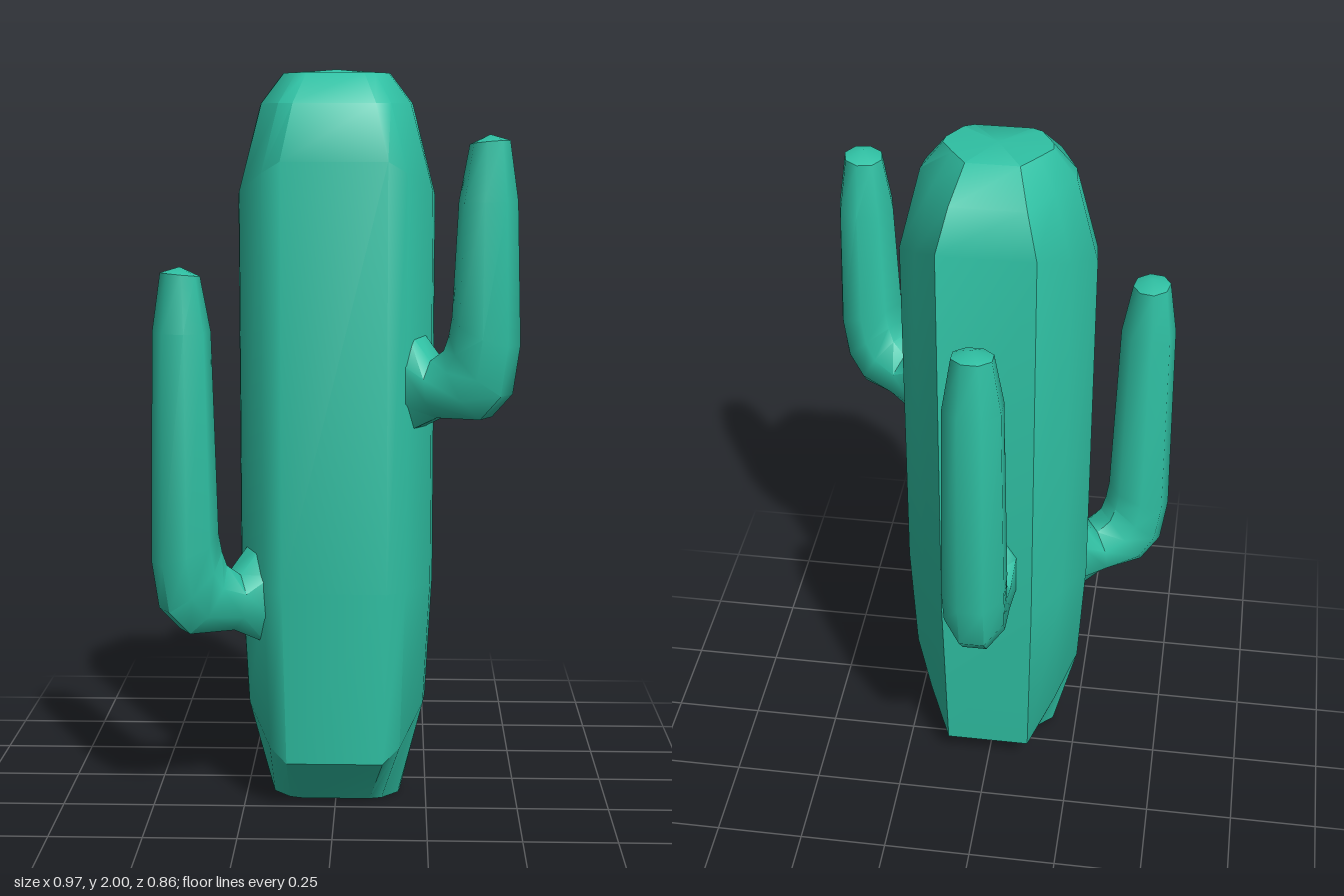
import * as THREE from 'three';
import { toCreasedNormals } from 'three/addons/utils/BufferGeometryUtils.js';

const material = new THREE.MeshStandardMaterial({ color: 0x2fc0a3 });
const AXIS_Z = 0.1; // the trunk stands slightly forward of the middle

// Skin a list of equal-length rings, closing both ends with a centre point
function loft(rings, start, end, crease) {
  const n = rings[0].length;
  const points = [...rings.flat(), start, end];
  const s = points.length - 2, e = s + 1;
  const last = (rings.length - 1) * n;
  const index = [];
  for (let j = 0; j < n; j++) {
    const k = (j + 1) % n;
    for (let i = 0; i < last; i += n) {
      index.push(i + j, i + k, i + n + k, i + j, i + n + k, i + n + j);
    }
    index.push(s, k, j, e, last + j, last + k);
  }
  const geometry = new THREE.BufferGeometry();
  geometry.setAttribute('position', new THREE.Float32BufferAttribute(points.flat(), 3));
  geometry.setIndex(index);
  return toCreasedNormals(geometry, crease);
}

// Rounded hexagonal trunk with a domed top and a chipped, tapering foot
function createTrunk() {
  // Half outline front to back: x, z from the axis, foot height, shoulder height
  const half = [
    [0.14, 0.235, 0.14, 1.76],
    [0.19, 0.205, 0.18, 1.73],
    [0.258, 0.065, 0.27, 1.68],
    [0.265, 0.0, 0.28, 1.67],
    [0.205, -0.11, 0.18, 1.72],
    [0.13, -0.235, 0.08, 1.79],
  ];
  const outline = [...half, ...half.map(([x, ...rest]) => [-x, ...rest]).reverse()];
  const ring = (sx, sz, height) =>
    outline.map((p) => [p[0] * sx, height(p), AXIS_Z + p[1] * sz]);
  const rings = [
    ring(0.67, 0.35, () => 0),
    ring(0.93, 0.88, (p) => p[2]),
    ring(1, 1, () => 0.62),
    ring(1, 0.98, (p) => p[3]),
    ring(0.77, 0.82, () => 1.91),
    ring(0.54, 0.45, () => 1.99),
  ];
  const mesh = new THREE.Mesh(loft(rings, [0, 0, AXIS_Z], [0, 2, AXIS_Z], 0.65), material);
  mesh.name = 'trunk';
  return mesh;
}

// Arm growing outward along +z, then bending upright
function createArm(name, angle, lift, tipY) {
  // Inner (r, y), outer (r, y), half width
  const sections = [
    [0.18, 0.95, 0.18, 0.6, 0.09],
    [0.24, 0.91, 0.24, 0.635, 0.085],
    [0.31, 0.83, 0.33, 0.68, 0.08],
    [0.35, 0.86, 0.46, 0.685, 0.08],
    [0.365, 0.9, 0.52, 0.75, 0.082],
    [0.375, 0.95, 0.54, 0.88, 0.085],
    [0.39, 1.5, 0.53, 1.5, 0.076],
    [0.415, 1.645, 0.51, 1.655, 0.052],
  ];
  // Keep the bend and the tip, stretch only the upright between them
  const height = (y) => (y > 1.3 ? y + tipY - 1.67 : y + lift);
  const sides = 8;
  const rings = sections.map(([r0, y0, r1, y1, w]) => {
    const a = height(y0), b = height(y1);
    return Array.from({ length: sides }, (_, j) => {
      const t = ((j + 0.5) / sides) * Math.PI * 2;
      const c = Math.cos(t) / Math.cos(Math.PI / sides);
      const s = Math.sin(t) / Math.cos(Math.PI / sides);
      return [w * s, (a + b) / 2 + ((b - a) / 2) * c, (r0 + r1) / 2 + ((r1 - r0) / 2) * c];
    });
  });
  const geometry = loft(rings, [0, 0.775 + lift, 0.18], [0, tipY, 0.463], 0.85);
  const mesh = new THREE.Mesh(geometry, material);
  mesh.name = name;
  mesh.position.z = AXIS_Z;
  mesh.rotation.y = angle;
  return mesh;
}

export function createModel() {
  const group = new THREE.Group();
  group.name = 'cactus';
  group.add(
    createTrunk(),
    createArm('backArm', Math.PI, 0, 1.67),
    createArm('leftArm', Math.PI / 3, 0.41, 1.83),
    createArm('rightArm', -Math.PI / 3, -0.17, 1.49),
  );
  return group;
}
